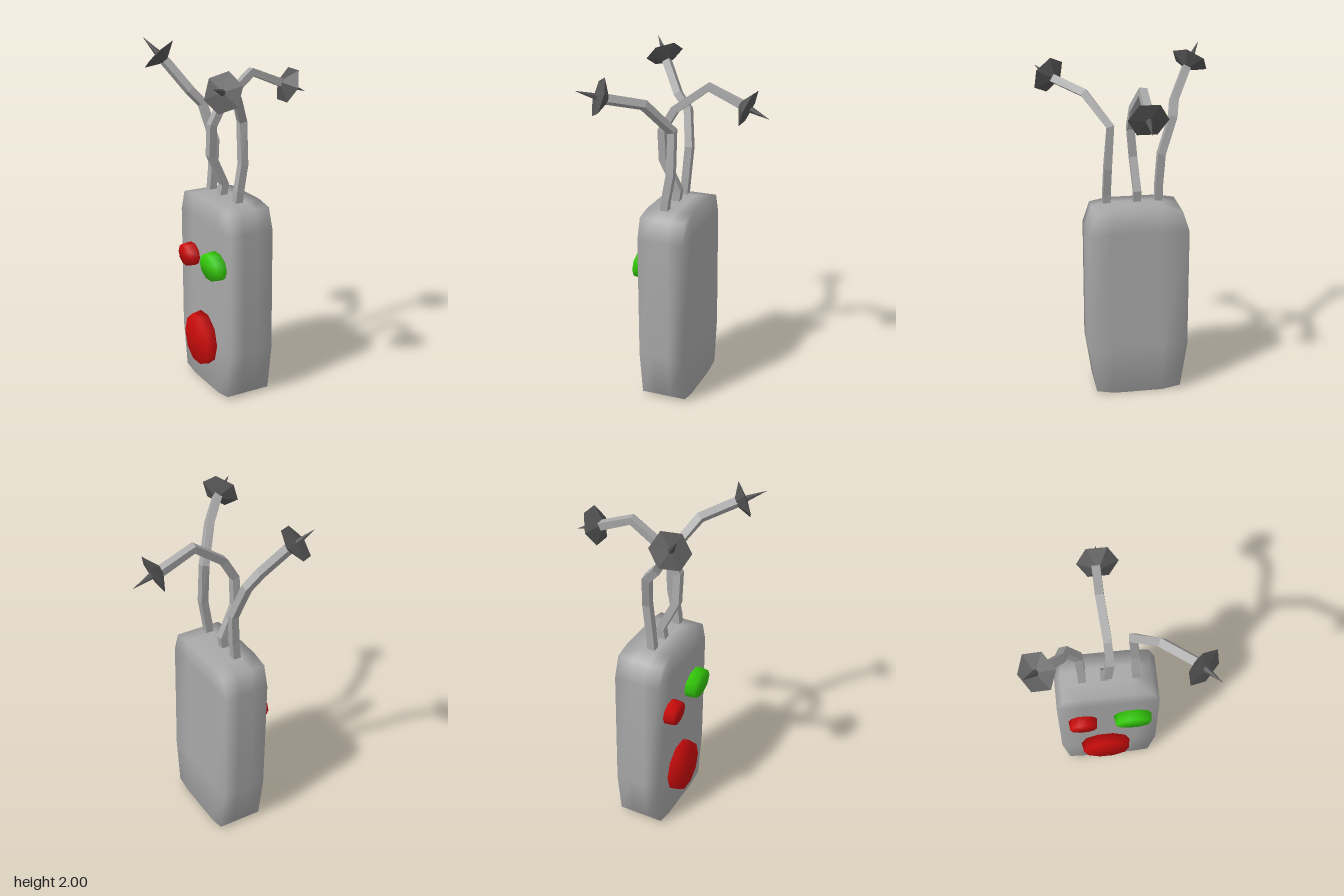
import * as THREE from 'three';
import { mergeVertices } from 'three/addons/utils/BufferGeometryUtils.js';

const mat = (name, color) => Object.assign(new THREE.MeshStandardMaterial({ color }), { name });

// Weld all corners so that the shading runs smoothly over the edges
function smooth(geo) {
  geo.deleteAttribute('normal');
  geo.deleteAttribute('uv');
  const g = mergeVertices(geo, 1e-4);
  g.computeVertexNormals();
  return g;
}

function faceted(geo) {
  const g = geo.index ? geo.toNonIndexed() : geo;
  g.computeVertexNormals();
  return g;
}

// Box with a 3 x 3 grid on its sides, corners pulled in
function bodyGeometry() {
  const geo = new THREE.BoxGeometry(1, 3, 3, 3, 3, 3);
  const p = geo.attributes.position;
  const ys = [0, 0.29, 1.0, 1.14], zs = [-0.34, -0.195, 0.095, 0.24];
  for (let i = 0; i < p.count; i++) {
    const ky = Math.round(p.getY(i) + 1.5), kz = Math.round(p.getZ(i) + 1.5);
    let y = ys[ky], z = zs[kz];
    if (ky % 3 === 0 && kz % 3 === 0) {
      y += ky ? -0.02 : 0.02;
      z += kz ? -0.04 : 0.04;
    }
    p.setXYZ(i, -0.083 + p.getX(i) * 0.266, y, z);
  }
  return smooth(geo);
}

// Square bar swept along a bent path
function barGeometry(points, half) {
  const pts = points.map((p) => new THREE.Vector3(...p));
  const n = new THREE.Vector3(1, 0, 0), pos = [], index = [];
  pts.forEach((p, i) => {
    const t = new THREE.Vector3();
    if (i === 0) t.set(0, 1, 0);
    else {
      t.subVectors(p, pts[i - 1]).normalize();
      if (i < pts.length - 1) t.add(pts[i + 1].clone().sub(p).normalize()).normalize();
    }
    n.addScaledVector(t, -n.dot(t)).normalize();
    const b = t.clone().cross(n);
    for (const [u, v] of [[1, 1], [-1, 1], [-1, -1], [1, -1]]) {
      const c = p.clone().addScaledVector(n, u * half).addScaledVector(b, v * half);
      pos.push(c.x, c.y, c.z);
    }
    if (i === 0) return;
    for (let k = 0; k < 4; k++) {
      const a = (i - 1) * 4 + k, d = (i - 1) * 4 + (k + 1) % 4;
      index.push(a, d, d + 4, a, d + 4, a + 4);
    }
  });
  const e = (pts.length - 1) * 4;
  index.push(0, 2, 1, 0, 3, 2, e, e + 1, e + 2, e, e + 2, e + 3);
  const geo = new THREE.BufferGeometry();
  geo.setAttribute('position', new THREE.Float32BufferAttribute(pos, 3));
  geo.setIndex(index);
  return faceted(geo);
}

export function createModel() {
  const model = new THREE.Group();
  const bodyGrey = mat('bodyGrey', 0xa8a8a8);
  const stalkGrey = mat('stalkGrey', 0xa8a8a8);
  const darkGrey = mat('darkGrey', 0x555555);
  const red = mat('red', 0xcc0c0c);
  const green = mat('green', 0x35cc0c);
  const add = (name, geo, material, parent = model) => {
    const m = new THREE.Mesh(geo, material);
    m.name = name;
    parent.add(m);
    return m;
  };

  add('body', bodyGeometry(), bodyGrey);

  // Oval buttons on the right side: y, z, half height, half depth
  const buttons = [
    ['greenButton', green, 0.79, 0.09, 0.082, 0.11],
    ['smallRedButton', red, 0.77, -0.2, 0.068, 0.083],
    ['largeRedButton', red, 0.29, -0.07, 0.162, 0.15],
  ];
  for (const [name, material, y, z, ry, rz] of buttons) {
    const geo = new THREE.CylinderGeometry(0.93, 1, 0.06, 10);
    geo.rotateZ(Math.PI / 2).scale(1, ry, rz).translate(-0.243, y, z);
    add(name, smooth(geo), material);
  }

  // Bent stalks, each ending in a six-sided dish with a spike
  const stalks = [
    {
      name: 'leftStalk',
      path: [[-0.1, 1.15, -0.06], [-0.09, 1.21, -0.06], [-0.175, 1.39, -0.05], [-0.175, 1.56, -0.035],
        [-0.1, 1.685, -0.04], [0.09, 1.825, -0.06], [0.28, 1.745, -0.06]],
      rim: [0.32, 1.73, -0.05], axis: [0.12, -0.05, 0],
    },
    {
      name: 'backStalk',
      path: [[-0.1, 1.15, -0.185], [-0.09, 1.25, -0.185], [-0.075, 1.43, -0.195], [-0.11, 1.63, -0.265],
        [-0.18, 1.71, -0.285], [-0.285, 1.87, -0.375]],
      rim: [-0.31, 1.905, -0.4], axis: [-0.065, 0.09, -0.06],
    },
    {
      name: 'frontStalk',
      path: [[-0.1, 1.15, 0.115], [-0.095, 1.2, 0.115], [-0.065, 1.36, 0.112], [-0.062, 1.6, 0.095],
        [-0.17, 1.77, 0.225], [-0.31, 1.825, 0.38]],
      rim: [-0.345, 1.84, 0.405], axis: [-0.1, 0.042, 0.075],
    },
  ];
  const profile = [[0, -0.05], [0.02, -0.05], [0.11, 0], [0.018, 0.012], [0, 0.13]]
    .map(([r, y]) => new THREE.Vector2(r, y));
  const dish = faceted(new THREE.LatheGeometry(profile, 6));
  for (const s of stalks) {
    const group = new THREE.Group();
    group.name = s.name;
    model.add(group);
    add('stem', barGeometry(s.path, 0.022), stalkGrey, group);
    const head = add('spikedDish', dish, darkGrey, group);
    head.position.set(...s.rim);
    head.quaternion.setFromUnitVectors(new THREE.Vector3(0, 1, 0), new THREE.Vector3(...s.axis).normalize());
  }
  return model;
}
